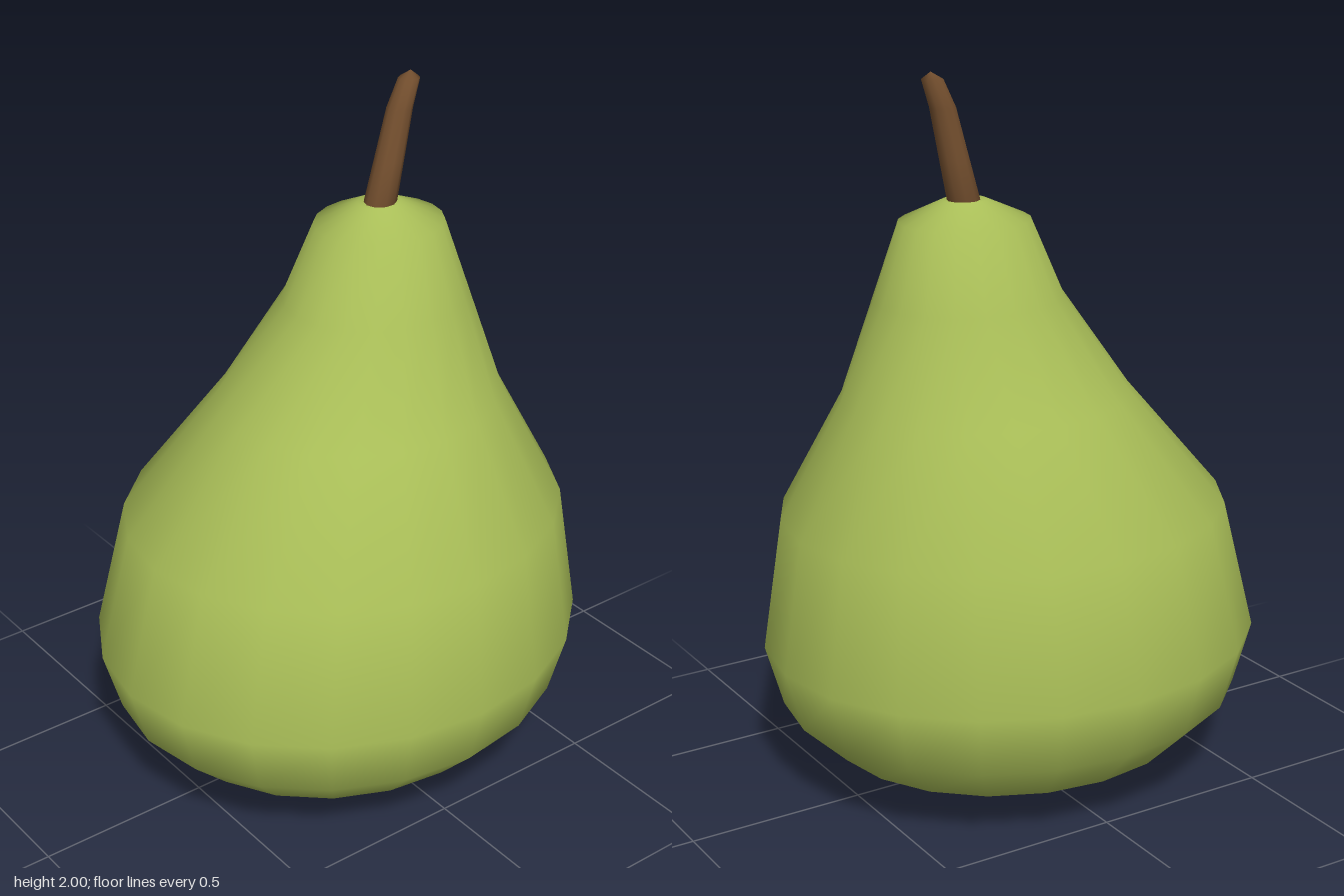
import * as THREE from 'three';

// Smooth surface through horizontal elliptical rings [centreX, y, radiusX, radiusZ],
// listed bottom to top and closed by a point at each end.
function loft(bottom, rings, top, sides) {
  const pos = [], idx = [];
  for (const [cx, y, rx, rz] of rings) {
    for (let j = 0; j < sides; j++) {
      const a = (j / sides) * Math.PI * 2;
      pos.push(cx + rx * Math.cos(a), y, rz * Math.sin(a));
    }
  }
  const last = (rings.length - 1) * sides;
  const low = rings.length * sides, high = low + 1;
  pos.push(bottom[0], bottom[1], 0, top[0], top[1], 0);
  for (let j = 0; j < sides; j++) {
    const k = (j + 1) % sides;
    idx.push(low, j, k, high, last + k, last + j);
    for (let r = 0; r < last; r += sides) {
      idx.push(r + j, r + sides + j, r + k, r + k, r + sides + j, r + sides + k);
    }
  }
  const geo = new THREE.BufferGeometry();
  geo.setAttribute('position', new THREE.Float32BufferAttribute(pos, 3));
  geo.setIndex(idx);
  geo.computeVertexNormals();
  return geo;
}

function part(name, geometry, color) {
  const mesh = new THREE.Mesh(geometry, new THREE.MeshStandardMaterial({ color }));
  mesh.name = name;
  return mesh;
}

export function createModel() {
  const group = new THREE.Group();
  group.name = 'pear';

  // Fruit: wide belly with the neck leaning towards +x
  const fruit = loft([0, 0], [
    [0, 0.045, 0.34, 0.31],
    [0, 0.115, 0.53, 0.48],
    [0, 0.24, 0.66, 0.60],
    [0, 0.415, 0.71, 0.645],
    [0.02, 0.785, 0.635, 0.58],
    [0.075, 1.11, 0.41, 0.372],
    [0.13, 1.39, 0.265, 0.24],
    [0.14, 1.60, 0.183, 0.166],
    [0.14, 1.655, 0.06, 0.055],
  ], [0.14, 1.65], 20);
  group.add(part('fruit', fruit, 0xaabf58));

  // Stem: tapered, bending over at the tip
  const stem = loft([0.135, 1.62], [
    [0.135, 1.62, 0.047, 0.044],
    [0.172, 1.77, 0.041, 0.039],
    [0.205, 1.905, 0.036, 0.034],
    [0.235, 1.98, 0.03, 0.028],
  ], [0.24, 2], 10);
  group.add(part('stem', stem, 0x75502f));

  return group;
}
